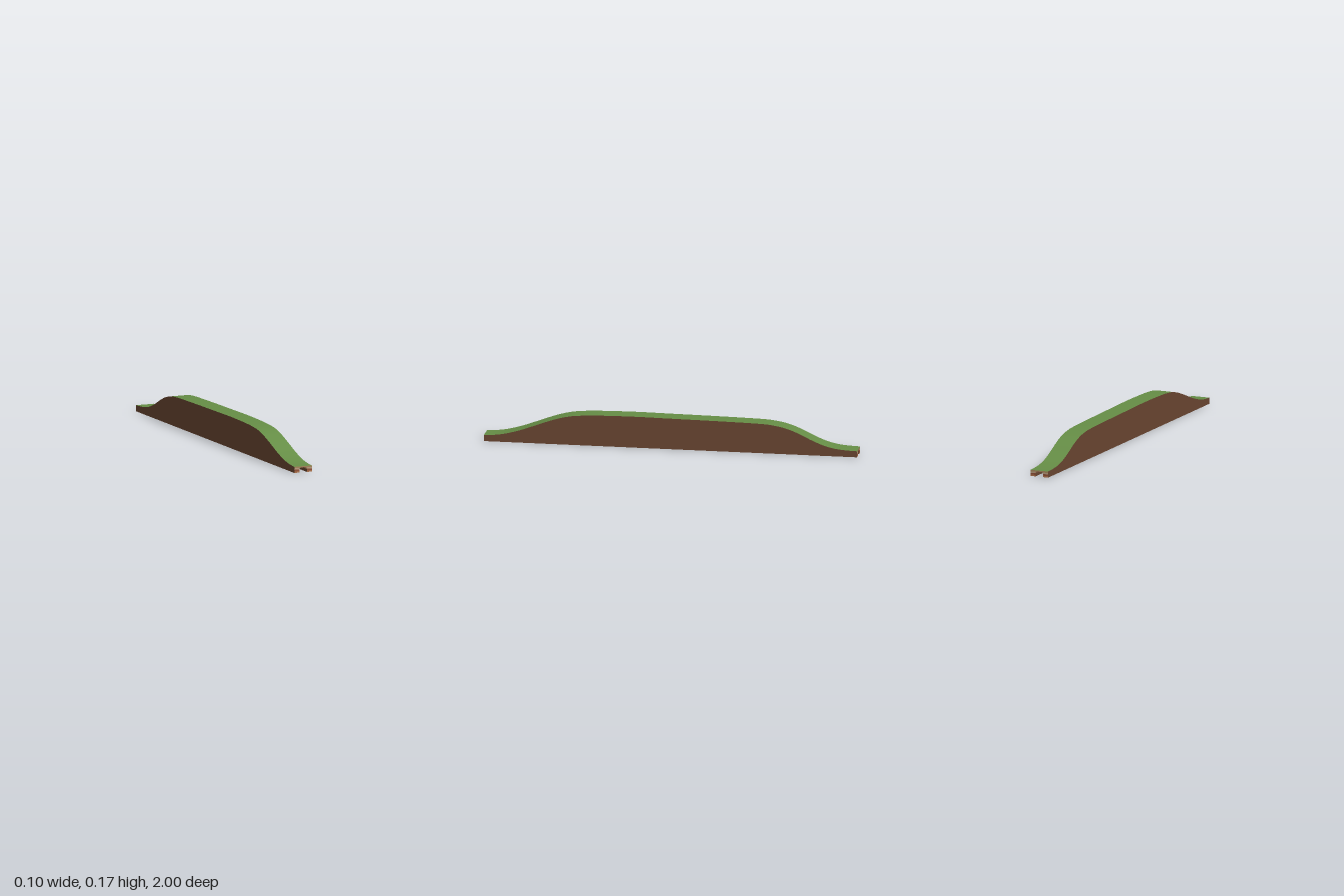
import * as THREE from 'three';

const HALF = 0.051; // half width of the hill
const SLOT = 0.022; // half width of the groove
const ARCH = 0.027; // height of the groove opening

// hill outline as (z, y)
const outline = [
  [1, 0.033], [0.95, 0.036], [0.9, 0.043], [0.85, 0.055], [0.8, 0.07], [0.75, 0.088], [0.7, 0.107],
  [0.65, 0.125], [0.6, 0.141], [0.55, 0.153], [0.5, 0.16], [0.4, 0.166], [0.2, 0.169], [0, 0.167],
  [-0.2, 0.165], [-0.4, 0.162], [-0.5, 0.159], [-0.55, 0.154], [-0.6, 0.145], [-0.65, 0.13],
  [-0.7, 0.109], [-0.75, 0.085], [-0.8, 0.064], [-0.85, 0.048], [-0.9, 0.039], [-0.95, 0.035], [-1, 0.033],
];

function material(color) {
  return new THREE.MeshStandardMaterial({ color, side: THREE.DoubleSide });
}

// sheet between two matching rows of points
function sheet(a, b) {
  const pos = [], index = [];
  a.forEach((p, i) => {
    pos.push(...p, ...b[i]);
    if (i) {
      const k = i * 2;
      index.push(k - 2, k, k - 1, k - 1, k, k + 1);
    }
  });
  const g = new THREE.BufferGeometry();
  g.setAttribute('position', new THREE.Float32BufferAttribute(pos, 3));
  g.setIndex(index);
  g.computeVertexNormals();
  return g;
}

// half width of the arched opening at height y
function opening(y) {
  const start = 0.015;
  if (y <= start) return SLOT;
  if (y >= ARCH) return 0;
  const t = (y - start) / (ARCH - start);
  return SLOT - 0.012 + 0.012 * Math.sqrt(1 - t * t);
}

export function createModel() {
  const group = new THREE.Group();
  const add = (name, geometry, mat) => {
    const mesh = new THREE.Mesh(geometry, mat);
    mesh.name = name;
    group.add(mesh);
    return mesh;
  };
  const grass = material(0x668e46);
  const soil = material(0x6a4631);

  const curve = new THREE.SplineCurve(outline.map(([z, y]) => new THREE.Vector2(z, y)));
  const ridge = curve.getPoints(104);

  // grassy top
  add('grassTop',
    sheet(ridge.map(p => [HALF, p.y, p.x]), ridge.map(p => [-HALF, p.y, p.x])).scale(1, 1, 1), grass);

  for (const s of [1, -1]) {
    const side = s > 0 ? 'left' : 'right';

    // soil side wall
    const low = ridge.map(p => [s * HALF, 0, p.x]);
    const high = ridge.map(p => [s * HALF, p.y, p.x]);
    add(side + 'SoilWall', s > 0 ? sheet(low, high) : sheet(high, low), soil);

    // foot running along the groove
    const foot = new THREE.BoxGeometry(HALF - SLOT, 0.016, 1.998);
    foot.translate(s * (HALF + SLOT) / 2, 0.008, 0);
    add(side + 'Foot', foot, soil);
  }

  // layered earth on both end faces, cut by the arched groove
  const layers = [
    [0, 0.008, 0xad7048], [0.008, 0.017, 0x8f4f35],
    [0.017, 0.025, 0xb89b7c], [0.025, 0.033, 0xa5855a],
  ];
  layers.forEach(([y0, y1, color], n) => {
    const mat = material(color);
    for (const s of [1, -1]) {
      const shape = new THREE.Shape();
      shape.moveTo(s * HALF, y1);
      shape.lineTo(s * HALF, y0);
      const steps = 8;
      for (let i = 0; i <= steps; i++) {
        const y = y0 + (y1 - y0) * i / steps;
        shape.lineTo(s * opening(y), y);
        if (y < ARCH && y + (y1 - y0) / steps >= ARCH) { // flat crown of the arch
          shape.lineTo(s * (SLOT - 0.012), ARCH);
        }
      }
      shape.closePath();
      for (const end of [1, -1]) {
        const geo = new THREE.ShapeGeometry(shape);
        if (end < 0) geo.rotateY(Math.PI);
        geo.translate(0, 0, end);
        add((end > 0 ? 'front' : 'back') + 'EarthLayer' + (n + 1), geo, mat);
      }
    }
  });

  return group;
}
